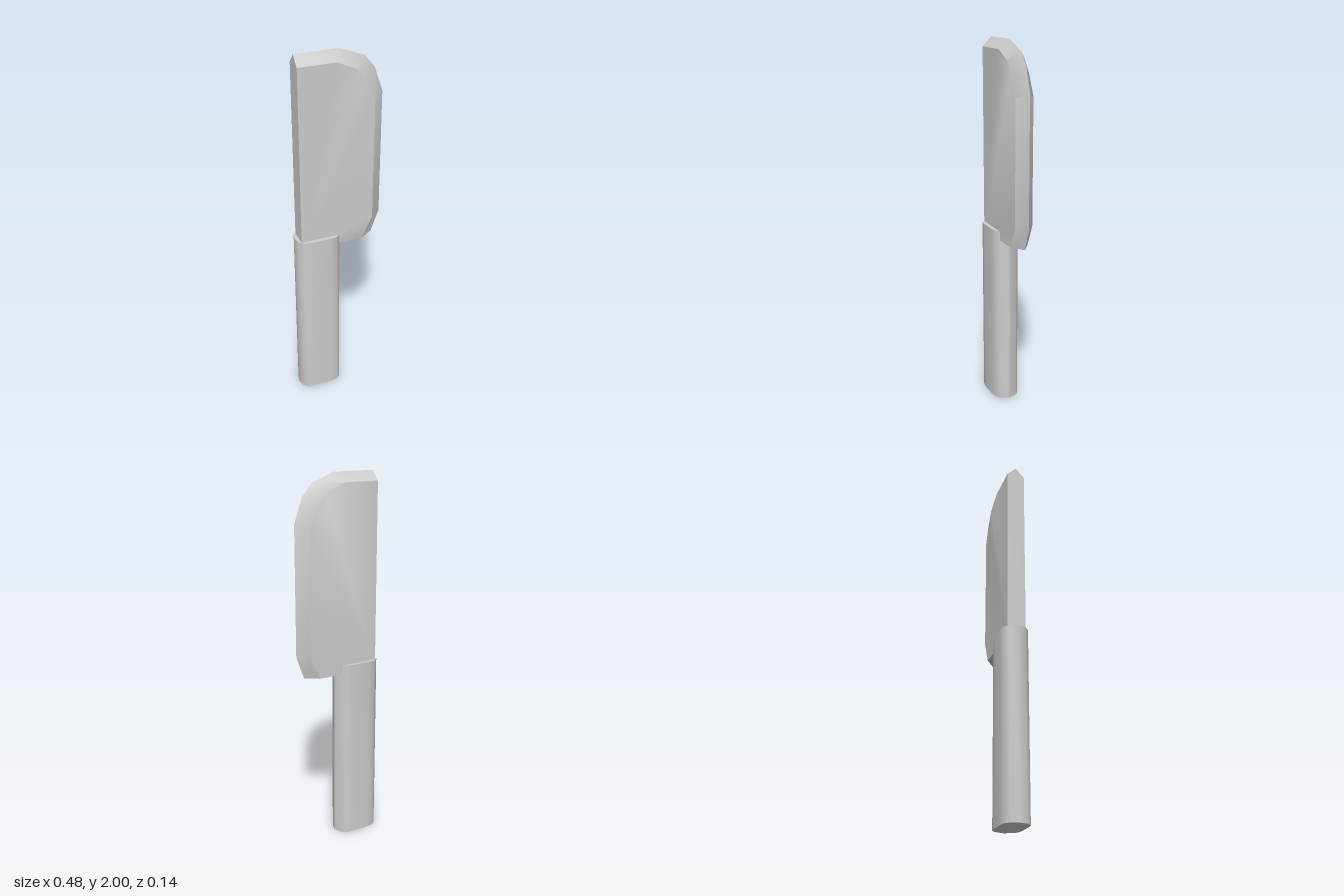
import * as THREE from 'three';
import { toCreasedNormals } from 'three/addons/utils/BufferGeometryUtils.js';

const CREASE = 0.65;

// Blade lofted through three outlines: front face, cutting ridge, back face.
function bladeGeometry() {
  const face = [[-0.22, 0.95], [0.125, 0.95], [0.18, 1.07], [0.18, 1.73],
    [0.13, 1.84], [0.08, 1.905], [-0.02, 1.95], [-0.22, 1.95]];
  const ridge = [[-0.22, 0.95], [0.195, 0.95], [0.24, 1.07], [0.24, 1.755],
    [0.195, 1.885], [0.14, 1.95], [0.01, 2], [-0.22, 2]];
  const rings = [[face, 0.049], [ridge, 0], [face, -0.049]];
  const n = face.length;
  const positions = rings.flatMap(([ring, z]) => ring.flatMap(([x, y]) => [x, y, z]));
  const index = [];
  for (let r = 0; r < 2; r++) {
    for (let i = 0; i < n; i++) {
      const a = r * n + i, b = r * n + (i + 1) % n;
      index.push(a, a + n, b + n, a, b + n, b);
    }
  }
  // flat cheeks
  for (let i = 1; i < n - 1; i++) {
    index.push(0, i, i + 1, 2 * n, 2 * n + i + 1, 2 * n + i);
  }
  const geometry = new THREE.BufferGeometry();
  geometry.setAttribute('position', new THREE.Float32BufferAttribute(positions, 3));
  geometry.setIndex(index);
  return toCreasedNormals(geometry, CREASE);
}

// Handle: rounded cross-section, mirrored front to back, extruded upwards.
function handleGeometry() {
  const half = [[0.01, 0], [-0.007, 0.046], [-0.03, 0.066], [-0.07, 0.072],
    [-0.165, 0.072], [-0.206, 0.066], [-0.233, 0.042], [-0.243, 0]];
  const mirrored = half.slice(1, -1).reverse().map(([x, z]) => [x, -z]);
  const section = new THREE.Shape([...half, ...mirrored].map(([x, z]) => new THREE.Vector2(x, z)));
  const geometry = new THREE.ExtrudeGeometry(section, { depth: 1, bevelEnabled: false });
  geometry.rotateX(-Math.PI / 2);
  return toCreasedNormals(geometry, CREASE);
}

export function createModel() {
  const model = new THREE.Group();
  model.name = 'cleaver';
  const material = new THREE.MeshStandardMaterial({ color: 0xcccccc });
  for (const [name, geometry] of [['blade', bladeGeometry()], ['handle', handleGeometry()]]) {
    const mesh = new THREE.Mesh(geometry, material);
    mesh.name = name;
    model.add(mesh);
  }
  return model;
}
